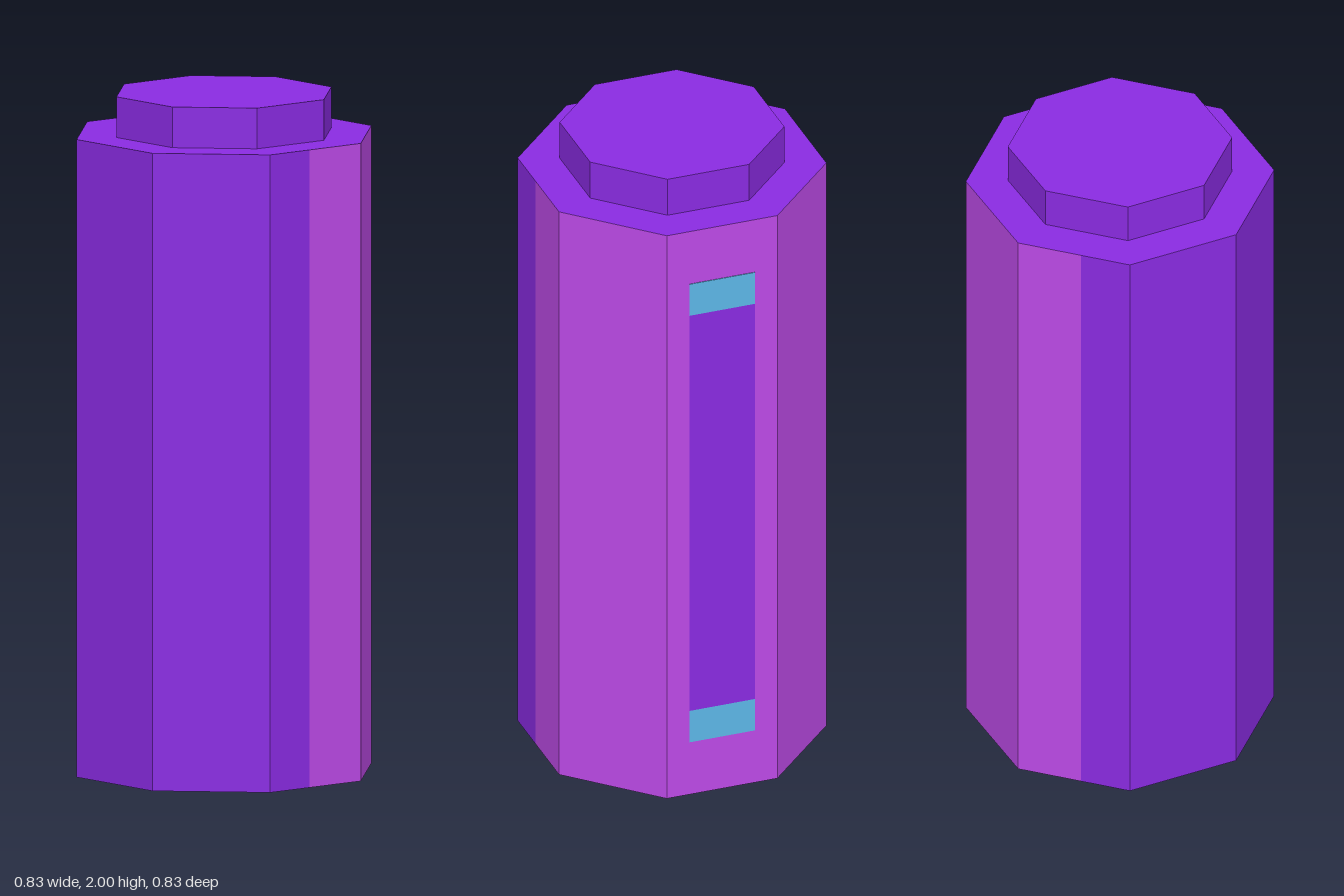
import * as THREE from 'three';

const material = (name, color) => {
  const m = new THREE.MeshStandardMaterial({ color });
  m.name = name;
  return m;
};

export function createModel() {
  const purple = material('purple', 0x8a2be2);
  const lilac = material('lilac', 0xc84ff5);
  const blue = material('sky blue', 0x60bcee);
  const group = new THREE.Group();
  group.name = 'octagonalCanister';

  const A = 0.416;       // flat-to-centre distance of the body
  const S = 0.172;       // half the length of one octagon side
  const BODY_TOP = 1.88;
  const SEAM_Z = 0.022;  // where the two body colours meet

  // Upright prism from an [x, z] outline; materials are [ends, sides]
  const addPrism = (name, outline, y0, y1, materials) => {
    const shape = new THREE.Shape(outline.map(([x, z]) => new THREE.Vector2(x, -z)));
    const geometry = new THREE.ExtrudeGeometry(shape, { depth: y1 - y0, bevelEnabled: false });
    geometry.rotateX(-Math.PI / 2);
    const mesh = new THREE.Mesh(geometry, materials);
    mesh.name = name;
    mesh.position.y = y0;
    group.add(mesh);
  };

  // Half an octagon, from the seam round to the front (+1) or back (-1)
  const half = (dir) => [
    [A, SEAM_Z], [A, dir * S], [S, dir * A],
    [-S, dir * A], [-A, dir * S], [-A, SEAM_Z],
  ];
  addPrism('frontBody', half(1), 0, BODY_TOP, [purple, purple]);
  addPrism('backBody', half(-1), 0, BODY_TOP, [purple, lilac]);

  // Smaller octagonal lid
  const a = 0.302, s = 0.127;
  const lid = [[a, -s], [a, s], [s, a], [-s, a], [-a, s], [-a, -s], [-s, -a], [s, -a]];
  addPrism('lid', lid, BODY_TOP, 2, [purple, purple]);

  // Back panel: a tall strip with a coloured band at each end
  const addPlate = (name, y0, y1, mat) => {
    const mesh = new THREE.Mesh(new THREE.BoxGeometry(0.204, y1 - y0, 0.004), mat);
    mesh.name = name;
    mesh.position.set(0, (y0 + y1) / 2, -A);
    group.add(mesh);
  };
  addPlate('backStrip', 0.28, 1.6, purple);
  addPlate('upperBand', 1.6, 1.705, blue);
  addPlate('lowerBand', 0.175, 0.28, blue);

  return group;
}
